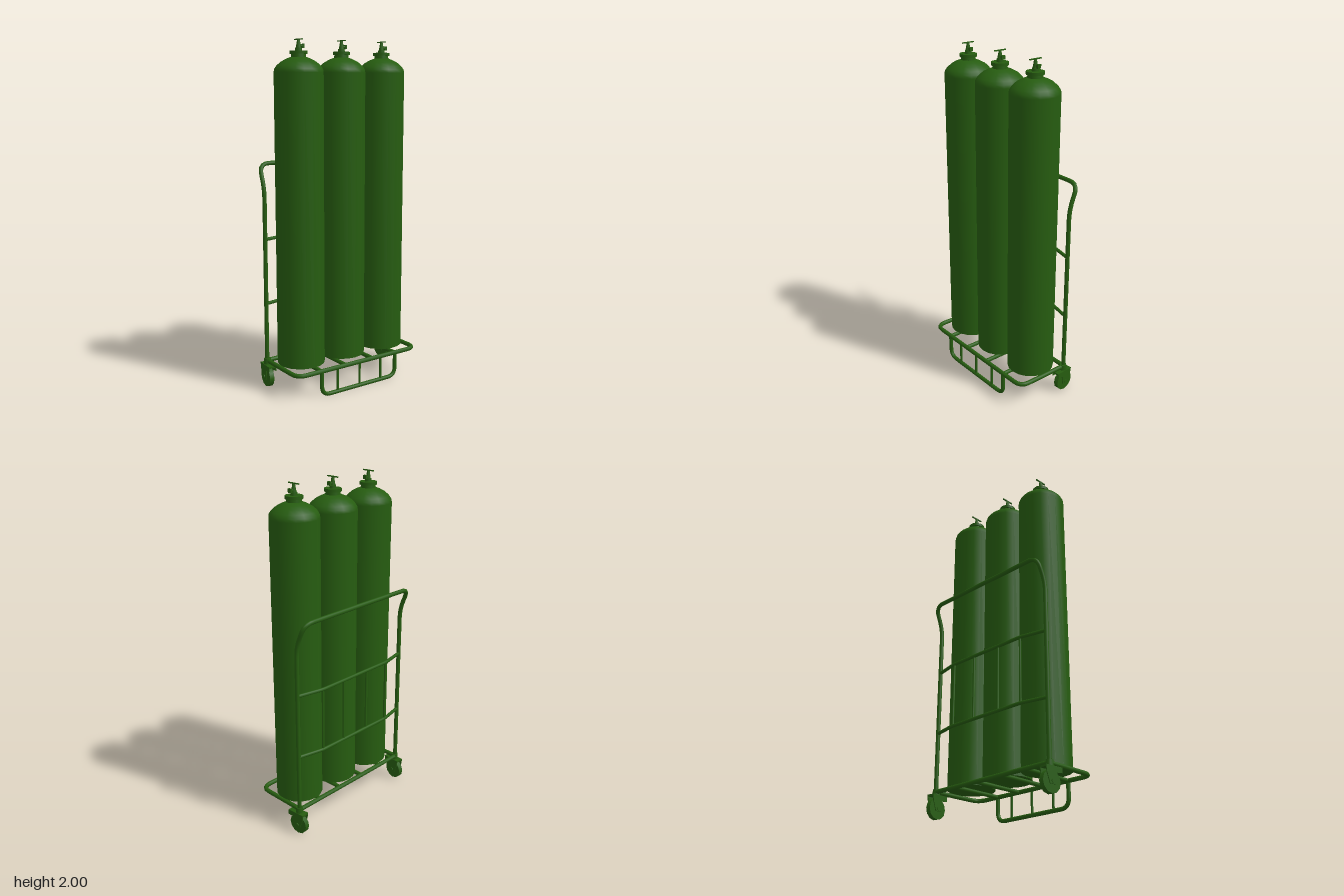
import * as THREE from 'three';

const green = new THREE.MeshStandardMaterial({ color: 0x265c10 });
const V = (x, y, z) => new THREE.Vector3(x, y, z);

function add(parent, name, geometry, x = 0, y = 0, z = 0) {
  const mesh = new THREE.Mesh(geometry, green);
  mesh.name = name;
  mesh.position.set(x, y, z);
  parent.add(mesh);
  return mesh;
}

// Pipe along a polyline whose inner corners are rounded by r
function bentPipe(parent, name, points, radius, r, segments = 64) {
  const path = new THREE.CurvePath();
  let from = points[0];
  for (let i = 1; i < points.length - 1; i++) {
    const p = points[i];
    const a = p.clone().add(points[i - 1].clone().sub(p).setLength(r));
    const b = p.clone().add(points[i + 1].clone().sub(p).setLength(r));
    path.add(new THREE.LineCurve3(from, a));
    path.add(new THREE.QuadraticBezierCurve3(a, p, b));
    from = b;
  }
  path.add(new THREE.LineCurve3(from, points[points.length - 1]));
  return add(parent, name, new THREE.TubeGeometry(path, segments, radius, 10), 0, 0, 0);
}

// Straight closed rod between two points
function rod(parent, name, a, b, radius) {
  const mesh = add(parent, name, new THREE.CylinderGeometry(radius, radius, a.distanceTo(b), 10));
  mesh.position.copy(a).add(b).multiplyScalar(0.5);
  mesh.quaternion.setFromUnitVectors(V(0, 1, 0), b.clone().sub(a).normalize());
  return mesh;
}

function gasCylinder(x) {
  const g = new THREE.Group();
  g.name = 'gasCylinder';
  g.position.set(x, 0, 0.008);
  // Body with domed shoulder
  const profile = [
    [0, 0.165], [0.137, 0.165], [0.137, 0.165], [0.137, 1.82], [0.134, 1.838],
    [0.122, 1.856], [0.098, 1.877], [0.07, 1.892], [0.045, 1.902], [0, 1.904],
  ].map(([r, y]) => new THREE.Vector2(r, y));
  add(g, 'body', new THREE.LatheGeometry(profile, 18));
  // Neck ring, valve and its side outlet
  add(g, 'neck', new THREE.CylinderGeometry(0.04, 0.042, 0.025, 18), 0, 1.91, 0);
  add(g, 'collar', new THREE.CylinderGeometry(0.049, 0.049, 0.017, 18), 0, 1.927, 0);
  add(g, 'valveBase', new THREE.CylinderGeometry(0.018, 0.02, 0.02, 12), 0, 1.942, 0);
  add(g, 'valveStem', new THREE.CylinderGeometry(0.007, 0.015, 0.046, 12), 0, 1.974, 0);
  const outlet = add(g, 'valveOutlet', new THREE.CylinderGeometry(0.008, 0.008, 0.026, 10), 0.015, 1.962, 0);
  outlet.rotation.z = Math.PI / 2;
  add(g, 'outletNut', new THREE.BoxGeometry(0.012, 0.022, 0.022), 0.026, 1.962, 0);
  add(g, 'valveHandle', new THREE.BoxGeometry(0.008, 0.006, 0.078), 0, 1.997, 0);
  return g;
}

function caster(side) {
  const g = new THREE.Group();
  g.name = 'caster';
  g.position.set(side * 0.428, 0, -0.135);
  g.rotation.y = side * 0.08;
  const wheel = add(g, 'wheel', new THREE.CylinderGeometry(0.06, 0.06, 0.028, 12), 0, 0.06, 0);
  wheel.rotation.z = Math.PI / 2;
  const axle = add(g, 'axle', new THREE.CylinderGeometry(0.012, 0.012, 0.056, 10), 0, 0.06, 0);
  axle.rotation.z = Math.PI / 2;
  // Fork cheeks reach forward above the wheel
  const cheek = new THREE.Shape();
  [[-0.02, 0.045], [0.02, 0.045], [0.03, 0.105], [0.065, 0.108], [0.065, 0.135], [-0.045, 0.135], [-0.04, 0.1]]
    .forEach(([z, y], i) => (i ? cheek.lineTo(-z, y) : cheek.moveTo(-z, y)));
  const cheekGeo = new THREE.ExtrudeGeometry(cheek, { depth: 0.005, bevelEnabled: false });
  for (const x of [-0.024, 0.019]) add(g, 'forkCheek', cheekGeo, x).rotation.y = Math.PI / 2;
  add(g, 'forkTop', new THREE.BoxGeometry(0.048, 0.01, 0.11), 0, 0.132, 0.01);
  add(g, 'swivel', new THREE.CylinderGeometry(0.02, 0.022, 0.035, 12), 0, 0.152, 0);
  return g;
}

export function createModel() {
  const model = new THREE.Group();
  model.name = 'cylinderTrolley';

  for (const x of [-0.284, 0.003, 0.291]) model.add(gasCylinder(x));

  // Base frame
  const base = new THREE.Group();
  base.name = 'base';
  model.add(base);
  const y = 0.155;
  bentPipe(base, 'baseHoop',
    [V(-0.427, y, -0.14), V(-0.427, y, 0.194), V(0.427, y, 0.194), V(0.427, y, -0.14)], 0.013, 0.06);
  rod(base, 'rearBar', V(-0.427, y, -0.14), V(0.427, y, -0.14), 0.013);
  for (const x of [-0.267, -0.097, 0.096, 0.265])
    rod(base, 'floorBar', V(x, y, -0.14), V(x, y, 0.194), 0.012);

  // Front stand
  const stand = new THREE.Group();
  stand.name = 'frontStand';
  model.add(stand);
  bentPipe(stand, 'standHoop',
    [V(-0.266, y, 0.196), V(-0.266, 0.012, 0.196), V(0.266, 0.012, 0.196), V(0.266, y, 0.196)], 0.012, 0.055);
  for (const x of [-0.157, 0, 0.155]) rod(stand, 'standBar', V(x, 0.012, 0.196), V(x, y, 0.196), 0.007);

  // Push handle with a backward bend at the top
  const back = new THREE.Group();
  back.name = 'backFrame';
  model.add(back);
  bentPipe(back, 'pushHandle', [
    V(-0.429, 0.15, -0.137), V(-0.429, 1.17, -0.137), V(-0.425, 1.31, -0.197),
    V(0.425, 1.31, -0.197), V(0.429, 1.17, -0.137), V(0.429, 0.15, -0.137),
  ], 0.0125, 0.06, 140);

  // Bowed rails and their uprights
  for (const h of [0.5, 0.88])
    bentPipe(back, 'backRail',
      [V(-0.429, h, -0.138), V(-0.27, h, -0.173), V(0.27, h, -0.173), V(0.429, h, -0.138)], 0.01, 0.03);
  for (const x of [-0.267, -0.097, 0.096, 0.265])
    rod(back, 'backUpright', V(x, 0.5, -0.17), V(x, 0.88, -0.17), 0.007);

  for (const side of [-1, 1]) model.add(caster(side));
  return model;
}
